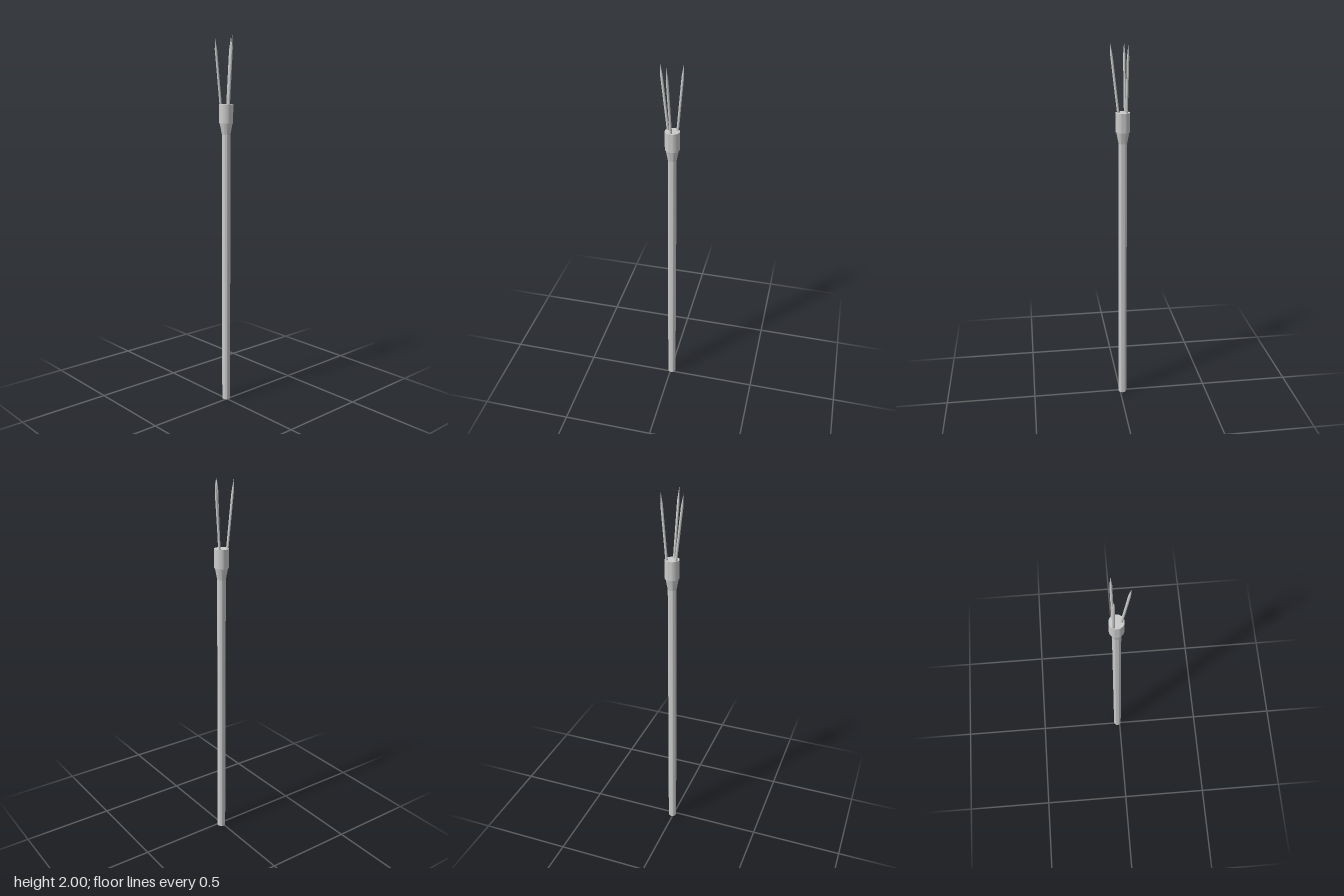
import * as THREE from 'three';
import { toCreasedNormals } from 'three/addons/utils/BufferGeometryUtils.js';

const material = new THREE.MeshStandardMaterial({ color: 0xcccccc });

// Turned part from [radius, height] pairs, with sharp edges kept
function turned(name, profile, segments) {
  const points = profile.map(([r, y]) => new THREE.Vector2(r, y));
  const geometry = toCreasedNormals(new THREE.LatheGeometry(points, segments), 0.6);
  const mesh = new THREE.Mesh(geometry, material);
  mesh.name = name;
  return mesh;
}

export function createModel() {
  const model = new THREE.Group();
  model.name = 'prongedSpear';

  // Shaft, flared socket and collar share one axis, slightly off centre
  const handle = new THREE.Group();
  handle.name = 'handle';
  handle.position.set(-0.014, 0, -0.007);
  handle.add(
    turned('shaft', [[0, 0], [0.0225, 0], [0.0225, 1.5], [0, 1.5]], 32),
    turned('socket', [[0, 1.49], [0.0225, 1.49], [0.0345, 1.552], [0, 1.552]], 32),
    turned('collar', [[0, 1.55], [0.0375, 1.55], [0.0375, 1.65], [0, 1.65]], 32)
  );
  model.add(handle);

  // Three splayed prongs, each a thin rod with a pointed end
  const radius = 0.0063;
  const point = 0.065;
  const prongs = [
    ['leftProng', [0.009, 1.645, -0.005], [0.049, 2.0, 0.007]],
    ['frontProng', [-0.029, 1.645, 0.018], [-0.029, 1.993, 0.057]],
    ['backProng', [-0.03, 1.645, -0.03], [-0.034, 1.995, -0.058]],
  ];
  for (const [name, from, to] of prongs) {
    const base = new THREE.Vector3(...from);
    const axis = new THREE.Vector3(...to).sub(base);
    const length = axis.length();
    const prong = turned(name, [[0, 0], [radius, 0], [radius, length - point], [0, length]], 16);
    prong.position.copy(base);
    prong.quaternion.setFromUnitVectors(new THREE.Vector3(0, 1, 0), axis.normalize());
    model.add(prong);
  }
  return model;
}
